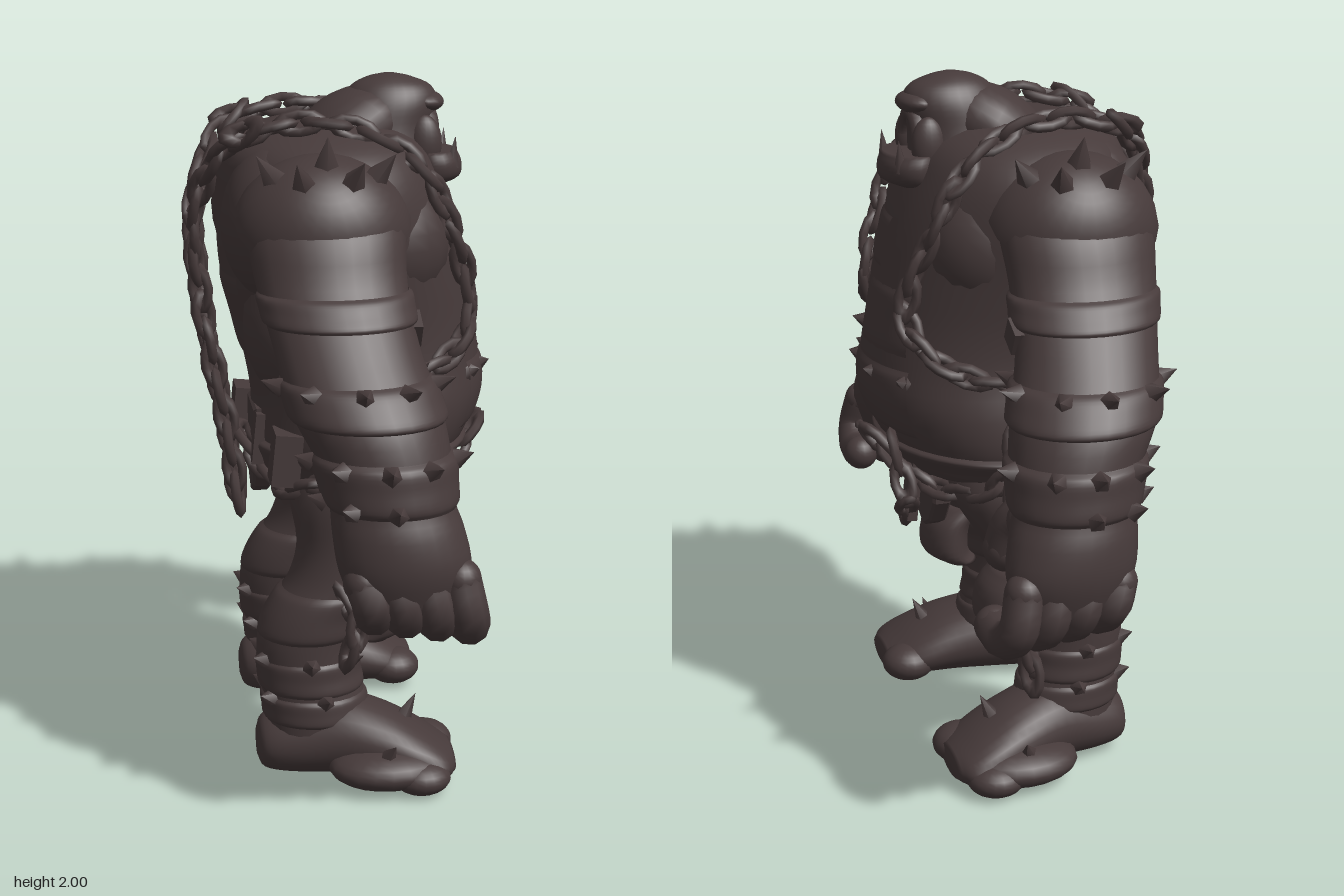
import * as THREE from 'three';
import { mergeVertices } from 'three/addons/utils/BufferGeometryUtils.js';

const V = (x, y, z) => new THREE.Vector3(x, y, z);

// Body sections, bottom to top: x, y, z, radius in x, radius in z
const TORSO = [[.02, .76, 0, .16, .22], [.03, .86, 0, .255, .33], [.055, .96, 0, .31, .39], [.08, 1.08, 0, .335, .385],
  [.07, 1.2, 0, .345, .36], [.045, 1.32, 0, .35, .365], [.015, 1.45, 0, .355, .39], [-.01, 1.6, 0, .34, .42],
  [-.03, 1.72, 0, .315, .42], [-.04, 1.8, 0, .285, .36], [-.04, 1.85, 0, .22, .26], [-.04, 1.88, 0, .12, .14]];
const ARM = [[.08, .68, .81, .13, .08], [.075, .8, .81, .175, .115], [.06, .9, .785, .175, .135], [.045, .98, .75, .165, .145],
  [.03, 1.08, .715, .18, .165], [-.01, 1.2, .67, .2, .17], [-.05, 1.35, .575, .195, .15], [-.075, 1.5, .47, .205, .145],
  [-.08, 1.62, .4, .215, .155], [-.08, 1.73, .32, .2, .14], [-.08, 1.79, .27, .1, .07]];
const LEG = [[-.11, .08, .31, .13, .12], [-.1, .2, .3, .15, .13], [-.12, .32, .29, .145, .13], [-.125, .42, .285, .145, .135],
  [-.1, .51, .28, .135, .14], [-.04, .6, .275, .135, .14], [0, .7, .26, .15, .15], [.03, .84, .23, .2, .17], [.03, .95, .2, .18, .16]];
const FOOT = [[-.275, .1, .3, .04, .04], [-.255, .1, .3, .09, .075], [-.18, .11, .3, .125, .1], [-.05, .13, .32, .14, .12],
  [.08, .115, .35, .15, .105], [.18, .09, .37, .155, .08], [.25, .07, .385, .14, .055], [.285, .065, .385, .09, .035]];
const KNEE = [[.06, .42, .28, .06, .1], [.1, .46, .28, .07, .12], [.09, .55, .28, .07, .12], [.03, .61, .28, .08, .11]];

const mirror = (rings, s) => rings.map(([x, y, z, a, b]) => [x, y, z * s, a, b]);

// Smooth skin through elliptical sections; along 'y' or along 'x' (radii then z, y)
function loft(rings, { along = 'y', from = 0, to = Math.PI * 2, caps = true, steps = 4, sides = 28 } = {}) {
  const mid = new THREE.CatmullRomCurve3(rings.map(r => V(r[0], r[1], r[2])), false, 'catmullrom');
  const rad = new THREE.CatmullRomCurve3(rings.map(r => V(r[3], r[4], 0)), false, 'catmullrom');
  const n = (rings.length - 1) * steps, rows = [];
  for (let j = 0; j <= n; j++) rows.push([mid.getPoint(j / n), rad.getPoint(j / n)]);
  if (caps) {
    rows.unshift([rows[0][0], V(0, 0, 0)]);
    rows.push([rows[rows.length - 1][0], V(0, 0, 0)]);
  }
  const pos = [], idx = [], w = sides + 1;
  rows.forEach(([c, r], j) => {
    for (let i = 0; i < w; i++) {
      const a = from + (to - from) * i / sides, p = Math.cos(a) * r.x, q = Math.sin(a) * r.y;
      if (along === 'y') pos.push(c.x + p, c.y, c.z + q);
      else pos.push(c.x, c.y + q, c.z + p);
      if (j < rows.length - 1 && i < sides) {
        const k = j * w + i;
        idx.push(k, k + w, k + 1, k + 1, k + w, k + w + 1);
      }
    }
  });
  const g = new THREE.BufferGeometry();
  g.setAttribute('position', new THREE.Float32BufferAttribute(pos, 3));
  g.setIndex(idx);
  const out = mergeVertices(g, 1e-5);
  out.computeVertexNormals();
  return out;
}

// Section of a body part at height y, swollen by off
function section(rings, y, off = 0) {
  let k = 0;
  while (k < rings.length - 2 && rings[k + 1][1] < y) k++;
  const t = (y - rings[k][1]) / (rings[k + 1][1] - rings[k][1]);
  const r = rings[k].map((v, i) => v + (rings[k + 1][i] - v) * t);
  return [r[0], y, r[2], r[3] + off, r[4] + off];
}

// Point on the surface of a body part
function surface(rings, y, angle, off = 0) {
  const r = section(rings, y, off);
  return V(r[0] + Math.cos(angle) * r[3], y, r[2] + Math.sin(angle) * r[4]);
}

export function createModel() {
  const model = new THREE.Group();
  const hide = new THREE.MeshStandardMaterial({ color: 0x463a3a, side: THREE.DoubleSide });
  hide.name = 'dark umber';
  const add = (name, geo, at) => {
    const m = new THREE.Mesh(geo, hide);
    m.name = name;
    if (at) m.position.copy(at);
    model.add(m);
    return m;
  };
  const blob = (name, at, rx, ry, rz) => {
    const m = add(name, new THREE.SphereGeometry(1, 20, 14), at);
    m.scale.set(rx, ry, rz);
    return m;
  };
  const band = (name, rings, y0, y1, off, opts) => {
    const ys = [0, .15, .5, .85, 1].map(t => y0 + (y1 - y0) * t);
    return add(name, loft(ys.map((y, i) => section(rings, y, i % 4 ? off : 0)), { caps: false, ...opts }));
  };
  const spike = (name, at, dir, length = .08, r = .03) => {
    const d = dir.clone().normalize();
    const m = add(name, new THREE.ConeGeometry(r, length, 5), at.clone().addScaledVector(d, length * .4));
    m.quaternion.setFromUnitVectors(V(0, 1, 0), d);
  };
  const spikeRing = (name, rings, y, angles, off, length) => angles.forEach(a => {
    spike(name, surface(rings, y, a, off), V(Math.cos(a), .35, Math.sin(a)), length);
  });
  const finger = (name, pts, r) => {
    add(name, new THREE.TubeGeometry(new THREE.CatmullRomCurve3(pts), 12, r, 10));
    [pts[0], pts[pts.length - 1]].forEach(p => blob(name + 'Tip', p, r, r, r));
  };
  // Chain of long oval links, alternately turned
  const linkGeo = new THREE.TorusGeometry(.025, .014, 6, 10).scale(1, 2, 1.1);
  const chain = (name, pts) => {
    const curve = new THREE.CatmullRomCurve3(pts), n = Math.round(curve.getLength() / .078);
    for (let i = 0; i <= n; i++) {
      const m = add(name, linkGeo, curve.getPointAt(i / n));
      m.quaternion.setFromUnitVectors(V(0, 1, 0), curve.getTangentAt(i / n));
      m.rotateY(i % 2 ? 1.2 : -.35);
    }
  };

  // Torso with belly plate, hide patches and belt
  add('torso', loft(TORSO, { sides: 40 }));
  band('bellyPlate', TORSO, 1.0, 1.2, .012, { from: -.65, to: .65 });
  band('chestPatch', TORSO, 1.46, 1.6, .006, { from: -.05, to: .5 });
  band('ribPatch', TORSO, 1.24, 1.42, .006, { from: -.6, to: .1 });
  band('backPatch', TORSO, 1.2, 1.45, .008, { from: 2.7, to: 3.6 });
  band('belt', TORSO, .87, .97, .02, { sides: 40 });
  spikeRing('bellySpike', TORSO, 1.17, [-.6, -.2, .3, .6], 0, .04);

  // Loincloths
  const cloth = new THREE.Shape([[-.12, .92], [-.11, .75], [-.06, .68], [0, .65], [.06, .68], [.11, .75], [.12, .92]]
    .map(p => new THREE.Vector2(...p)));
  [['frontCloth', .2, .01], ['backCloth', -.25, .13]].forEach(([name, x, lift]) => {
    const g = new THREE.ExtrudeGeometry(cloth, { depth: .04, bevelSize: .008, bevelThickness: .008, bevelSegments: 1 });
    add(name, g.rotateY(Math.PI / 2), V(x, lift, 0));
  });
  [-.13, .1, .26].forEach((z, i) => {
    add('backPouch', new THREE.BoxGeometry(.08, .15, .11), V(-.26 + .04 * i, .99 - .02 * i, z)).rotation.z = -.1;
  });
  add('beltStrap', new THREE.BoxGeometry(.03, .22, .07), V(.31, .84, -.12)).rotation.z = .12;

  // Head: skull running into the neck, brow, gaping mouth and heavy underbite
  add('skull', loft([[.1, 1.66, 0, .14, .14], [.12, 1.76, 0, .15, .145], [.13, 1.85, 0, .145, .125],
    [.15, 1.92, 0, .14, .11], [.155, 1.965, 0, .115, .085], [.15, 1.99, 0, .065, .05], [.15, 2, 0, .02, .02]]));
  blob('neckHump', V(.03, 1.83, 0), .18, .12, .17).rotation.z = .55;
  blob('brow', V(.25, 1.92, 0), .058, .032, .085);
  add('upperLip', new THREE.TorusGeometry(.07, .026, 8, 16, Math.PI).rotateY(Math.PI / 2), V(.26, 1.82, 0));
  add('lowerJaw', loft([[.25, 1.685, 0, .05, .08], [.27, 1.71, 0, .085, .12], [.275, 1.75, 0, .085, .13],
    [.265, 1.785, 0, .08, .12]]));

  for (const s of [-1, 1]) {
    const arm = mirror(ARM, s), leg = mirror(LEG, s);
    const P = (x, y, z) => V(x, y, z * s);

    // Face sides
    spike('tusk', P(.32, 1.75, .085), P(.1, 1, .1), .09, .022);
    blob('cheek', P(.24, 1.81, .085), .05, .08, .035);

    // Chest and back muscle
    blob('chestMuscle', P(.1, 1.55, .21), .19, .2, .17);
    blob('shoulderBlade', P(-.18, 1.61, .18), .17, .23, .19);
    blob('lowerBack', P(-.12, 1.32, .17), .17, .24, .17);

    // Arm with bracers
    add('arm', loft(arm));
    band('upperArmBand', arm, 1.4, 1.48, .01);
    band('elbowGuard', arm, 1.17, 1.28, .014);
    band('bracer', arm, .96, 1.1, .016);
    const outer = [-.6, .2, 1, 1.6, 2.3, 3.1].map(a => a * s);
    spikeRing('elbowSpike', arm, 1.26, outer, .01, .06);
    spikeRing('bracerSpike', arm, 1.08, outer.slice(1), .015, .05);
    spikeRing('wristSpike', arm, .98, outer.slice(3), .015, .05);
    add('armStud', new THREE.BoxGeometry(.05, .07, .07), P(.13, 1.38, .54)).rotation.x = s * .5;

    // Shoulder pad tilted outward with a crest of spikes
    const pad = new THREE.SphereGeometry(1, 24, 10, 0, Math.PI * 2, 0, 1.3).scale(.25, .225, .22);
    add('shoulderPad', pad, P(-.085, 1.6, .33)).rotation.x = s * .65;
    for (let i = 0; i < 5; i++) {
      const d = P(-.75 + i * .38, 1, i % 2 ? .9 : .45).normalize();
      spike('shoulderSpike', P(-.085 + d.x * .24, 1.6 + d.y * .22, .33 + d.z * s * .21), d, .1, .04);
    }

    // Hand curled into a loose fist
    for (let k = 0; k < 4; k++) {
      const x = -.04 + k * .085, y = .045 - k * .013;
      finger('finger', [P(x, .78, .85), P(x + .02, .68 + y, .865), P(x + .035, .625 + y, .8), P(x + .04, .63 + y, .715)], .055);
    }
    blob('thumbBase', P(.1, .91, .69), .11, .09, .09);
    finger('thumb', [P(.11, .92, .68), P(.16, .88, .615), P(.18, .8, .59)], .065);

    // Leg with knee guard and shin wraps
    add('leg', loft(leg));
    band('kneeGuard', leg, .43, .57, .01);
    add('kneePlate', loft(mirror(KNEE, s)));
    band('shinWrap', leg, .27, .37, .008);
    band('ankleWrap', leg, .18, .26, .008);
    spikeRing('legSpike', leg, .37, [.6, 1.6, 2.7, 3.6, 4.7], 0, .045);
    spikeRing('ankleSpike', leg, .26, [1.4, 2.6, 3.6, 4.8], 0, .045);

    // Foot sloping down to a broad outer edge
    add('foot', loft(mirror(FOOT, s), { along: 'x' }));
    blob('outerFoot', P(.09, .07, .45), .17, .062, .125);
    [.285, .4, .5].forEach((z, i) => blob('toe', P(.22 - i * .02, .068 - i * .008, z), .085, .058 - i * .004, .08));
    spike('footSpike', P(.14, .16, .36), V(.5, 1, 0), .11, .035);
    spike('footSpike', P(.08, .11, .5), P(.3, .8, .6), .08, .03);

    // Chains: over the shoulder to the flank, down the back, and along the belt
    chain('chestChain', [P(-.28, 1.86, .2), P(-.1, 1.89, .22), P(.08, 1.85, .25),
      ...[[1.74, .72], [1.62, .66], [1.48, .58], [1.36, .6], [1.27, .85], [1.21, 1.25], [1.18, 2]]
        .map(([y, a]) => surface(TORSO, y, a * s, .03))]);
    chain('backChain', [P(-.28, 1.86, .2), P(-.36, 1.78, .13), P(-.41, 1.62, .05), P(-.4, 1.4, .03),
      P(-.37, 1.2, .03), P(-.33, 1, .04), P(-.3, .78, .05)]);
    chain('beltChain', [[.95, .1], [.86, .4], [.84, .8], [.88, 1.2], [.97, 1.5]]
      .map(([y, a]) => surface(TORSO, y, a * s, .04)));
    chain('backBeltChain', [[.97, 1.6], [.88, 2.1], [.85, 2.5], [.94, 3]]
      .map(([y, a]) => surface(TORSO, y, a * s, .03)));
  }

  // Single chains on one side
  chain('hipChain', [V(.1, 1.02, -.41), V(.1, .8, -.43), V(.08, .6, -.45), V(.07, .36, -.49)]);
  chain('loopChain', [V(.37, .95, -.16), V(.35, .82, -.2), V(.33, .74, -.1)]);
  chain('kneeChain', [V(-.03, .56, .43), V(.0, .5, .46), V(-.02, .42, .44)]);
  return model;
}
